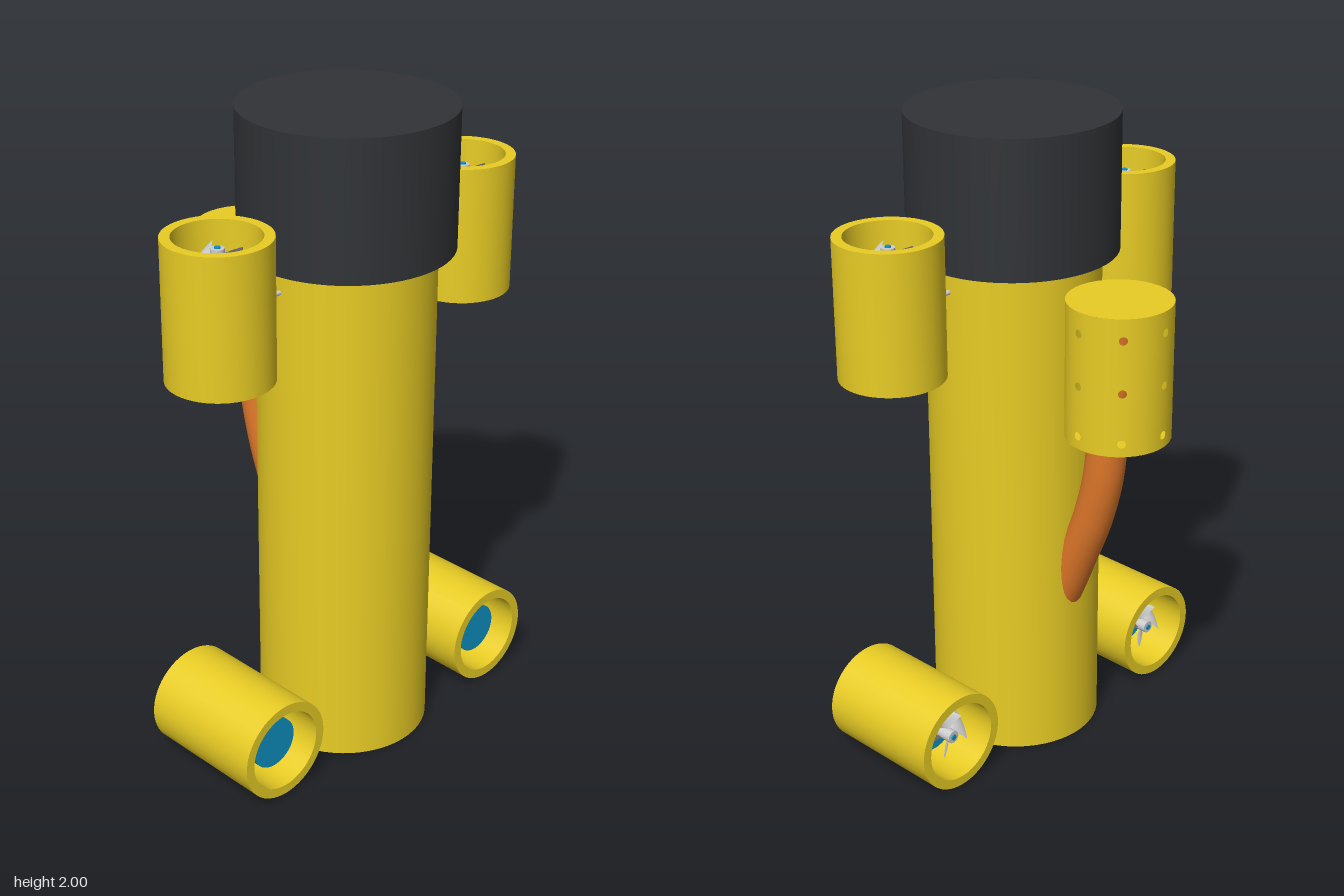
import * as THREE from 'three';
import { mergeGeometries, toCreasedNormals } from 'three/addons/utils/BufferGeometryUtils.js';

const mat = (color, side = THREE.FrontSide) => new THREE.MeshStandardMaterial({ color, side });
const yellow = mat(0xe8cc24), yellowThin = mat(0xe8cc24, THREE.DoubleSide);
const dark = mat(0x303336), blue = mat(0x0f90c0), orange = mat(0xe0782a);
const grey = mat(0xcccccc), greyThin = mat(0xcccccc, THREE.DoubleSide);

const BODY_Z = 0.133;

function add(parent, name, geometry, material, x = 0, y = 0, z = 0) {
  const mesh = new THREE.Mesh(geometry, material);
  mesh.name = name;
  mesh.position.set(x, y, z);
  parent.add(mesh);
  return mesh;
}

const cyl = (r, h, n = 48) => new THREE.CylinderGeometry(r, r, h, n);

// Open pipe with a wall, centred on its axis
function pipe(outer, inner, h) {
  const profile = [[inner, -h / 2], [outer, -h / 2], [outer, h / 2], [inner, h / 2], [inner, -h / 2]];
  const lathe = new THREE.LatheGeometry(profile.map(p => new THREE.Vector2(...p)), 56);
  return toCreasedNormals(lathe, 0.6);
}

// Pitched, swept blade: u runs from hub to tip, v across the blade
function bladeGeometry() {
  const g = new THREE.PlaneGeometry(1, 1, 8, 8);
  const p = g.attributes.position;
  for (let i = 0; i < p.count; i++) {
    const u = p.getX(i) + 0.5, v = p.getY(i);
    const r = 0.016 + 0.062 * u - 0.016 * u * v;
    const spread = 0.55 + 0.75 * Math.sin(Math.PI * Math.min(1, 0.15 + 0.65 * u));
    const a = v * spread + 0.45 * u * u;
    p.setXYZ(i, r * Math.cos(a), v * (0.035 + 0.04 * u), r * Math.sin(a));
  }
  g.computeVertexNormals();
  return g;
}

// Ducted thruster along y: propeller at +y, strut towards +z
function thruster(name) {
  const g = new THREE.Group();
  g.name = name;
  add(g, 'duct', pipe(0.156, 0.126, 0.42), yellow);
  add(g, 'motor', cyl(0.08, 0.25), blue, 0, -0.035, 0);
  add(g, 'motorStrut', cyl(0.008, 0.07, 12), grey, 0, 0, 0.105).rotation.x = Math.PI / 2;
  add(g, 'hub', cyl(0.02, 0.09, 24), grey, 0, 0.13, 0);
  add(g, 'shaftTip', cyl(0.009, 0.01, 16), blue, 0, 0.174, 0);
  const blade = bladeGeometry();
  for (let i = 0; i < 4; i++) {
    add(g, 'propellerBlade', blade, greyThin, 0, 0.135, 0).rotation.y = i * Math.PI / 2 + 0.4;
  }
  return g;
}

// Cylinder wall made of bent strips, every fifth strip pierced by three holes
function perforatedWall(radius, h) {
  const strips = 35, w = 2 * Math.PI * radius / strips, parts = [];
  for (let i = 0; i < strips; i++) {
    const shape = new THREE.Shape([[0, 0], [w, 0], [w, h], [0, h]].map(c => new THREE.Vector2(...c)));
    if (i % 5 === 0) {
      for (const y of [0.04, 0.195, 0.355]) {
        shape.holes.push(new THREE.Path().absarc(w / 2, y, 0.0125, 0, Math.PI * 2, true));
      }
    }
    const g = new THREE.ShapeGeometry(shape, 10);
    const p = g.attributes.position, n = g.attributes.normal;
    for (let k = 0; k < p.count; k++) {
      const a = (p.getX(k) - w / 2 + i * w) / radius - 0.105;
      n.setXYZ(k, Math.cos(a), 0, -Math.sin(a));
      p.setXYZ(k, radius * Math.cos(a), p.getY(k) - h / 2, -radius * Math.sin(a));
    }
    parts.push(g);
  }
  return mergeGeometries(parts);
}

export function createModel() {
  const model = new THREE.Group();
  model.name = 'underwaterVehicle';

  // Main hull with recessed bottom plate and dark head
  add(model, 'hull', pipe(0.263, 0.256, 1.6), yellow, 0, 0.8, BODY_Z);
  add(model, 'bottomPlate', cyl(0.258, 0.03, 56), dark, 0, 0.065, BODY_Z);
  add(model, 'head', cyl(0.315, 0.415, 64), dark, 0, 1.7925, BODY_Z);

  // Vertical thrusters at the top, horizontal ones at the bottom, each on a rod
  for (const side of [-1, 1]) {
    const upper = thruster('upperThruster');
    upper.position.set(side * 0.488, 1.53, BODY_Z);
    model.add(upper);
    add(model, 'upperRod', cyl(0.007, 0.11, 12), grey, side * 0.295, 1.51, BODY_Z).rotation.z = Math.PI / 2;

    const lower = thruster('lowerThruster');
    lower.position.set(side * 0.45, 0.16, BODY_Z);
    lower.rotation.x = -Math.PI / 2;
    model.add(lower);
    add(model, 'lowerRod', cyl(0.007, 0.07, 12), grey, side * 0.28, 0.17, BODY_Z).rotation.z = Math.PI / 2;
  }

  // Perforated canister on the back
  const canister = new THREE.Group();
  canister.name = 'canister';
  canister.position.set(0, 1.32, -0.29);
  model.add(canister);
  add(canister, 'canisterWall', perforatedWall(0.156, 0.42), yellowThin);
  for (const s of [-1, 1]) {
    add(canister, 'canisterLid', new THREE.CircleGeometry(0.156, 35), yellowThin, 0, s * 0.21, 0).rotation.x = -s * Math.PI / 2;
  }

  // Hose from the canister into the hull
  const path = new THREE.CatmullRomCurve3([
    [1.5, -0.28], [1.11, -0.252], [0.95, -0.235], [0.8, -0.195], [0.65, -0.135], [0.52, -0.08], [0.4, -0.02],
  ].map(([y, z]) => new THREE.Vector3(0, y, z)));
  add(model, 'hose', new THREE.TubeGeometry(path, 40, 0.061, 20), orange);

  return model;
}
